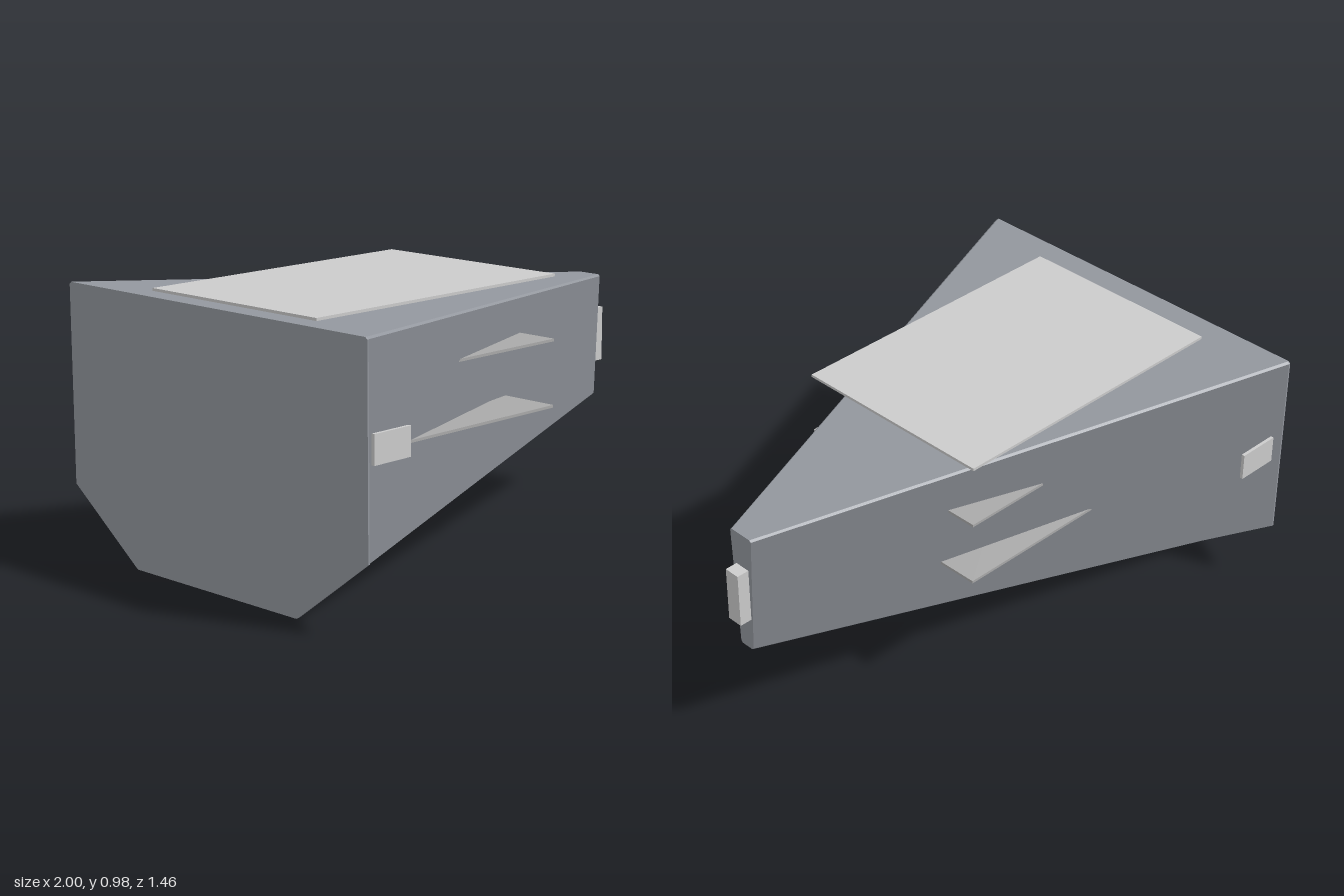
import * as THREE from 'three';

const hullMaterial = new THREE.MeshStandardMaterial({ color: 0x93979e });
const deckMaterial = new THREE.MeshStandardMaterial({ color: 0xaaaaaa });
const greyMaterial = new THREE.MeshStandardMaterial({ color: 0xcccccc });

// Fans each polygon from its first corner, with one shared normal per polygon
function polygonGeometry(polygons) {
  const positions = [], normals = [];
  for (const poly of polygons) {
    const normal = new THREE.Vector3();
    poly.forEach((p, i) => {
      const q = poly[(i + 1) % poly.length];
      normal.add(p.clone().sub(poly[0]).cross(q.clone().sub(poly[0])));
    });
    normal.normalize();
    for (let i = 1; i < poly.length - 1; i++) {
      for (const p of [poly[0], poly[i], poly[i + 1]]) {
        positions.push(...p.toArray());
        normals.push(...normal.toArray());
      }
    }
  }
  const geometry = new THREE.BufferGeometry();
  geometry.setAttribute('position', new THREE.Float32BufferAttribute(positions, 3));
  geometry.setAttribute('normal', new THREE.Float32BufferAttribute(normals, 3));
  return geometry;
}

// Closed cross-section at x: the [y, z] half profile runs from roof to keel, then mirrors back
function ring(x, half) {
  const left = half.map(([y, z]) => new THREE.Vector3(x, y, z));
  const right = half.map(([y, z]) => new THREE.Vector3(x, y, -z)).reverse();
  return [...left, ...right];
}

// Box given by its lower and upper corners
function box(name, [x0, y0, z0], [x1, y1, z1], material) {
  const mesh = new THREE.Mesh(new THREE.BoxGeometry(x1 - x0, y1 - y0, z1 - z0), material);
  mesh.position.set((x0 + x1) / 2, (y0 + y1) / 2, (z0 + z1) / 2);
  mesh.name = name;
  return mesh;
}

// Tapered hull with bevelled long edges; the stern plate is a thin slab wider than the keel
function createHull() {
  const sternHalf = [[0.975, 0.72], [0.968, 0.729], [0.25, 0.729], [0.005, 0.407], [0, 0.397]];
  const noseHalf = [[0.852, 0.045], [0.845, 0.052], [0.382, 0.032], [0.375, 0.025]];
  const stern = ring(-1, sternHalf);
  const rim = ring(-0.994, sternHalf);
  const nose = ring(0.953, noseHalf);

  const slabEdge = stern.map((p, i) => {
    const j = (i + 1) % stern.length;
    return [p, stern[j], rim[j], rim[i]];
  });
  const hull = new THREE.Mesh(polygonGeometry([
    [rim[3], nose[2], nose[1], rim[1], rim[2]],   // side toward +z
    [rim[8], nose[6], nose[5], rim[6], rim[7]],   // side toward -z
    [rim[0], nose[0], nose[7], rim[9]],           // roof
    [rim[4], rim[5], nose[4], nose[3]],           // underside
    [rim[1], nose[1], nose[0], rim[0]],           // roof bevels
    [rim[9], nose[7], nose[6], rim[8]],
    [rim[4], nose[3], nose[2], rim[3]],           // keel bevels
    [rim[6], nose[5], nose[4], rim[5]],
    nose,
    [...stern].reverse(),
    ...slabEdge,
  ]), hullMaterial);
  hull.name = 'hull';
  return hull;
}

export function createModel() {
  const model = new THREE.Group();
  model.name = 'wedgeShip';
  model.add(createHull());

  // Three equal decks; the lower two show only where they pierce the sides
  const decks = [
    ['lowerDeck', 0.498, deckMaterial],
    ['middleDeck', 0.74, deckMaterial],
    ['topDeck', 0.974, greyMaterial],
  ];
  for (const [name, y, material] of decks) {
    model.add(box(name, [-0.9, y - 0.005, -0.402], [0.27, y + 0.005, 0.402], material));
  }

  // Thin panels near the stern, one on each side
  for (const side of [-1, 1]) {
    const z = side * 0.712;
    model.add(box('sidePanel', [-0.96, 0.56, z - 0.006], [-0.795, 0.662, z + 0.006], greyMaterial));
  }

  // Block on the nose
  model.add(box('noseBlock', [0.945, 0.508, -0.03], [1, 0.717, 0.03], greyMaterial));

  return model;
}
